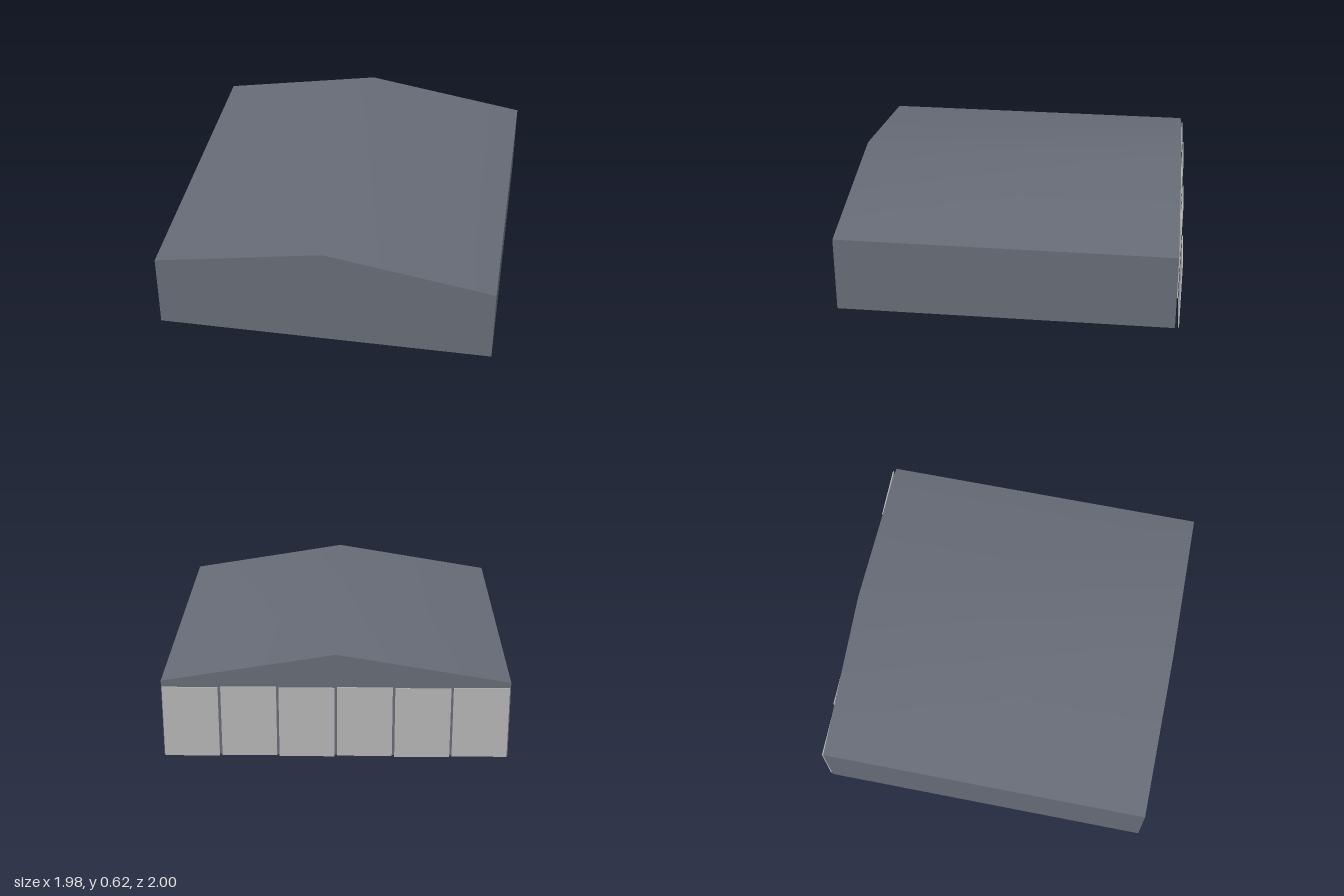
import * as THREE from 'three';
import { toCreasedNormals } from 'three/addons/utils/BufferGeometryUtils.js';

const WIDTH = 1.98, EAVE = 0.46, RIDGE = 0.625, BACK = -0.977, FRONT = 1;

export function createModel() {
  const group = new THREE.Group();
  group.name = 'hangar';

  const cladding = new THREE.MeshStandardMaterial({ color: 0x666b76 });
  cladding.name = 'slate grey cladding';
  const doorPaint = new THREE.MeshStandardMaterial({ color: 0xb4b4b4 });
  doorPaint.name = 'light grey door';

  // Gabled hall: the section runs from back to front, softly shaded over the ridge
  const w = WIDTH / 2;
  const section = new THREE.Shape([
    new THREE.Vector2(-w, 0),
    new THREE.Vector2(w, 0),
    new THREE.Vector2(w, EAVE),
    new THREE.Vector2(0, RIDGE),
    new THREE.Vector2(-w, EAVE),
  ]);
  const hallGeometry = new THREE.ExtrudeGeometry(section, { depth: FRONT - BACK, bevelEnabled: false });
  hallGeometry.translate(0, 0, BACK);
  const hall = new THREE.Mesh(toCreasedNormals(hallGeometry, Math.PI / 6), cladding);
  hall.name = 'hall';
  group.add(hall);

  // Six sliding door leaves on two staggered tracks across the back
  const doors = new THREE.Group();
  doors.name = 'slidingDoors';
  const count = 6, pitch = 0.33, thickness = 0.007;
  const leafGeometry = new THREE.BoxGeometry(0.316, 0.43, thickness);
  for (let i = 0; i < count; i++) {
    const leaf = new THREE.Mesh(leafGeometry, doorPaint);
    leaf.name = `doorLeaf${i + 1}`;
    const outerFace = i % 2 ? -1 : -0.991;
    leaf.position.set((i - (count - 1) / 2) * pitch, 0.215, outerFace + thickness / 2);
    doors.add(leaf);
  }
  group.add(doors);

  return group;
}
